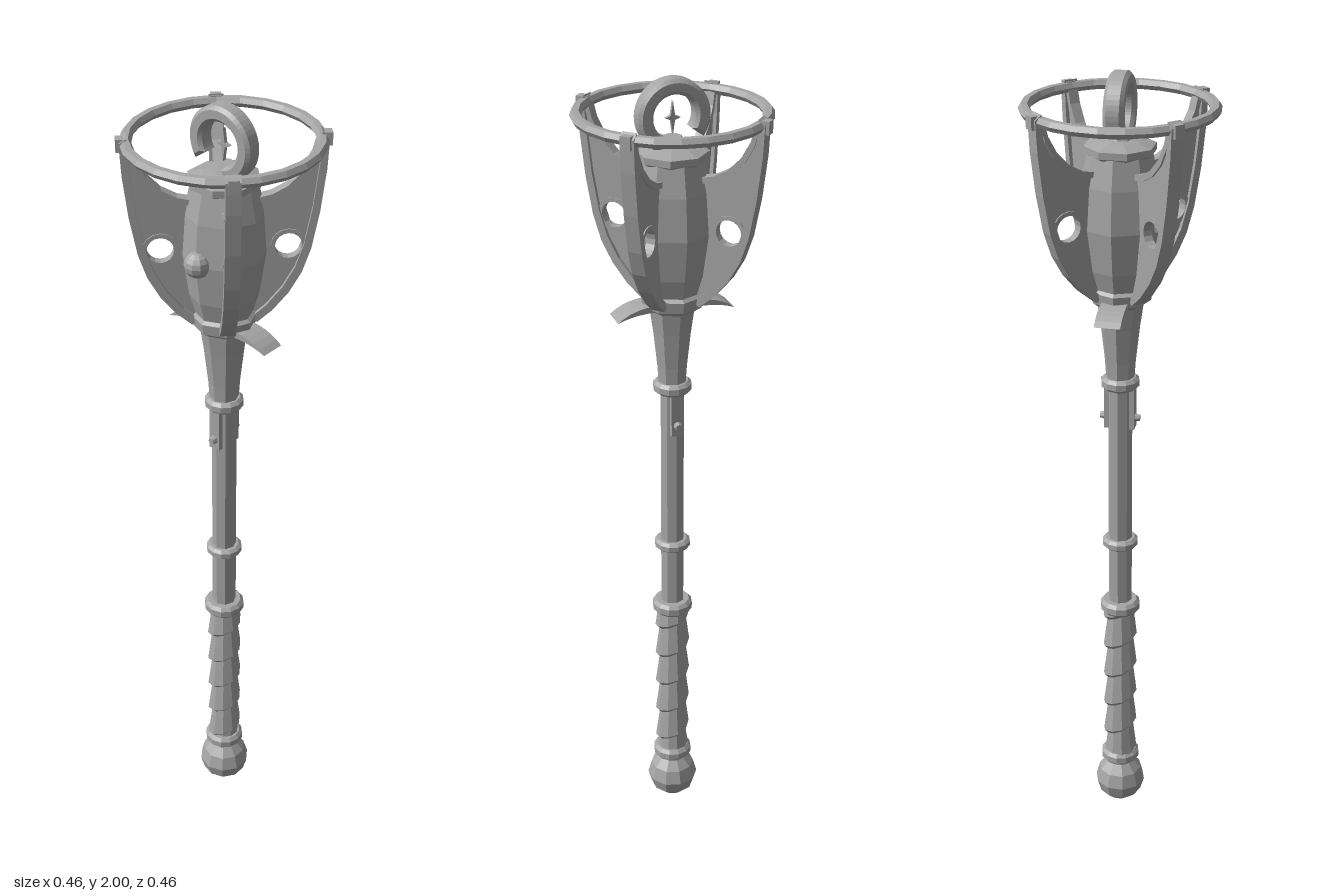
import * as THREE from 'three';

const steel = new THREE.MeshStandardMaterial({ color: 0xa6a6a6, flatShading: true });
steel.name = 'steel';

const v2 = (pts) => pts.map(([x, y]) => new THREE.Vector2(x, y));

export function createModel() {
  const model = new THREE.Group();
  const add = (name, geometry, parent = model) => {
    const mesh = new THREE.Mesh(geometry, steel);
    mesh.name = name;
    parent.add(mesh);
    return mesh;
  };
  const lathe = (name, pts, sides = 8, start = 0) =>
    add(name, new THREE.LatheGeometry(v2(pts), sides, start));
  // Extrusion centred on its own thickness
  const plate = (shape, depth, bevel = 0, curveSegments = 12) =>
    new THREE.ExtrudeGeometry(shape, {
      depth: depth - 2 * bevel, curveSegments, bevelEnabled: bevel > 0,
      bevelThickness: bevel, bevelSize: bevel, bevelOffset: -bevel, bevelSegments: 1,
    }).translate(0, 0, -depth / 2 + bevel);

  // Pommel, shaft and neck
  lathe('pommel', [[0, 0], [0.03, 0.014], [0.056, 0.038], [0.066, 0.072],
    [0.056, 0.108], [0.035, 0.132], [0.03, 0.15]], 10);
  lathe('shaft', [[0.03, 0.14], [0.03, 1.26]]);
  lathe('neck', [[0.034, 1.25], [0.038, 1.31], [0.048, 1.4], [0.056, 1.455],
    [0.074, 1.468], [0.078, 1.495], [0.06, 1.51]]);

  // Collars along the shaft
  for (const [y, r, h] of [[0.155, 0.05, 0.034], [0.625, 0.051, 0.034], [0.812, 0.045, 0.026], [1.253, 0.047, 0.03]]) {
    lathe('collar', [[0.025, y - h / 2], [r - 0.008, y - h / 2], [r, y - h / 4],
      [r, y + h / 4], [r - 0.008, y + h / 2], [0.025, y + h / 2]], 12);
  }

  // Grip: rows follow a helix, and each wrap flares outward to a step
  const y0 = 0.16, y1 = 0.62, pitch = 0.09, rowsPerTurn = 8, turns = 7;
  const grip = new THREE.CylinderGeometry(1, 1, 1, 10, rowsPerTurn * turns, true);
  const p = grip.attributes.position;
  for (let i = 0; i < p.count; i++) {
    const row = Math.floor(i / 11), a = (i % 11) / 10;
    const r = 0.034 + 0.01 * ((row % rowsPerTurn) / (rowsPerTurn - 1));
    const y = y1 + pitch * (a - row / rowsPerTurn);
    p.setXYZ(i, r * Math.sin(a * Math.PI * 2), THREE.MathUtils.clamp(y, y0, y1), r * Math.cos(a * Math.PI * 2));
  }
  grip.computeVertexNormals();
  add('wrappedGrip', grip);

  // Studded clips below the upper collar, front and back
  for (const s of [1, -1]) {
    add('clip', new THREE.BoxGeometry(0.03, 0.115, 0.012).translate(0, 1.19, s * 0.031));
    add('clipStud', new THREE.CylinderGeometry(0.008, 0.011, 0.014, 8).rotateX(s * Math.PI / 2).translate(0, 1.16, s * 0.042));
  }

  // Head core with its cap
  lathe('headCore', [[0.06, 1.47], [0.084, 1.55], [0.098, 1.65], [0.091, 1.75], [0.076, 1.82]]);
  lathe('headCap', [[0.07, 1.812], [0.084, 1.82], [0.084, 1.836], [0.05, 1.846], [0, 1.855]], 8, Math.PI / 8);

  // Round boss on the front of the core
  add('boss', new THREE.SphereGeometry(0.031, 10, 8).translate(0, 1.655, 0.092));

  // Four diagonal flanges, each a pierced panel with a thicker outer rim
  const edge = [[0.075, 1.475], [0.11, 1.505], [0.147, 1.55], [0.175, 1.6], [0.195, 1.66], [0.212, 1.75], [0.224, 1.85], [0.228, 1.925]];
  const inner = [[0.205, 1.925], [0.194, 1.885], [0.172, 1.845], [0.14, 1.812], [0.105, 1.793], [0.07, 1.785]];
  const panel = new THREE.Shape(v2([...edge, ...inner, [0.05, 1.5]]));
  const hole = new THREE.Path();
  hole.absellipse(0.144, 1.665, 0.031, 0.034, 0, Math.PI * 2, true);
  panel.holes.push(hole);
  const band = (line, dx, dy) => new THREE.Shape(v2([...line, ...line.map(([x, y]) => [x + dx, y + dy]).reverse()]));
  const eyelet = new THREE.Shape().absarc(0, 0, 0.041, 0, Math.PI * 2);
  eyelet.holes.push(new THREE.Path().absarc(0, 0, 0.031, 0, Math.PI * 2, true));
  for (let k = 0; k < 4; k++) {
    const flange = new THREE.Group();
    flange.name = 'flange';
    flange.rotation.y = Math.PI / 4 + k * Math.PI / 2;
    model.add(flange);
    add('flangePanel', plate(panel, 0.016), flange);
    add('flangeOuterRim', plate(band(edge, -0.016, 0.012), 0.034), flange);
    add('flangeInnerRim', plate(band(inner, 0.008, -0.012), 0.026), flange);
    add('flangeEyelet', plate(eyelet, 0.022, 0, 8).translate(0.144, 1.665, 0), flange);
    add('flangeTip', new THREE.BoxGeometry(0.026, 0.03, 0.024).translate(0.222, 1.918, 0), flange);
  }

  // Hoop joining the flange tips
  lathe('hoop', [[0.2, 1.92], [0.207, 1.909], [0.221, 1.909], [0.228, 1.92],
    [0.221, 1.931], [0.207, 1.931], [0.2, 1.92]], 24);

  // Open curl standing on the cap, with a small spark plate inside
  const curl = new THREE.Shape();
  const from = -Math.PI * 0.56, to = Math.PI * 1.2;
  curl.absarc(0, 0, 0.085, from, to, false);
  curl.absarc(0, 0, 0.05, to, from, true);
  add('curl', plate(curl, 0.046, 0.008, 20).translate(0, 1.915, 0));
  add('curlFoot', new THREE.CylinderGeometry(0.022, 0.04, 0.04, 8).translate(0, 1.848, 0));
  const spark = new THREE.Shape(v2(Array.from({ length: 8 }, (_, i) => {
    const r = i % 2 ? 0.007 : (i % 4 ? 0.038 : 0.018), a = i * Math.PI / 4;
    return [r * Math.cos(a), r * Math.sin(a)];
  })));
  add('spark', plate(spark, 0.009).translate(0, 1.91, 0));

  // Curved side leaves under the head
  const leaf = new THREE.Shape();
  leaf.moveTo(0.055, 1.478);
  leaf.quadraticCurveTo(0.11, 1.476, 0.144, 1.447);
  leaf.quadraticCurveTo(0.105, 1.463, 0.055, 1.462);
  for (const s of [0, 1]) {
    add('sideLeaf', plate(leaf, 0.062, 0, 5)).rotation.y = s * Math.PI;
  }

  return model;
}
